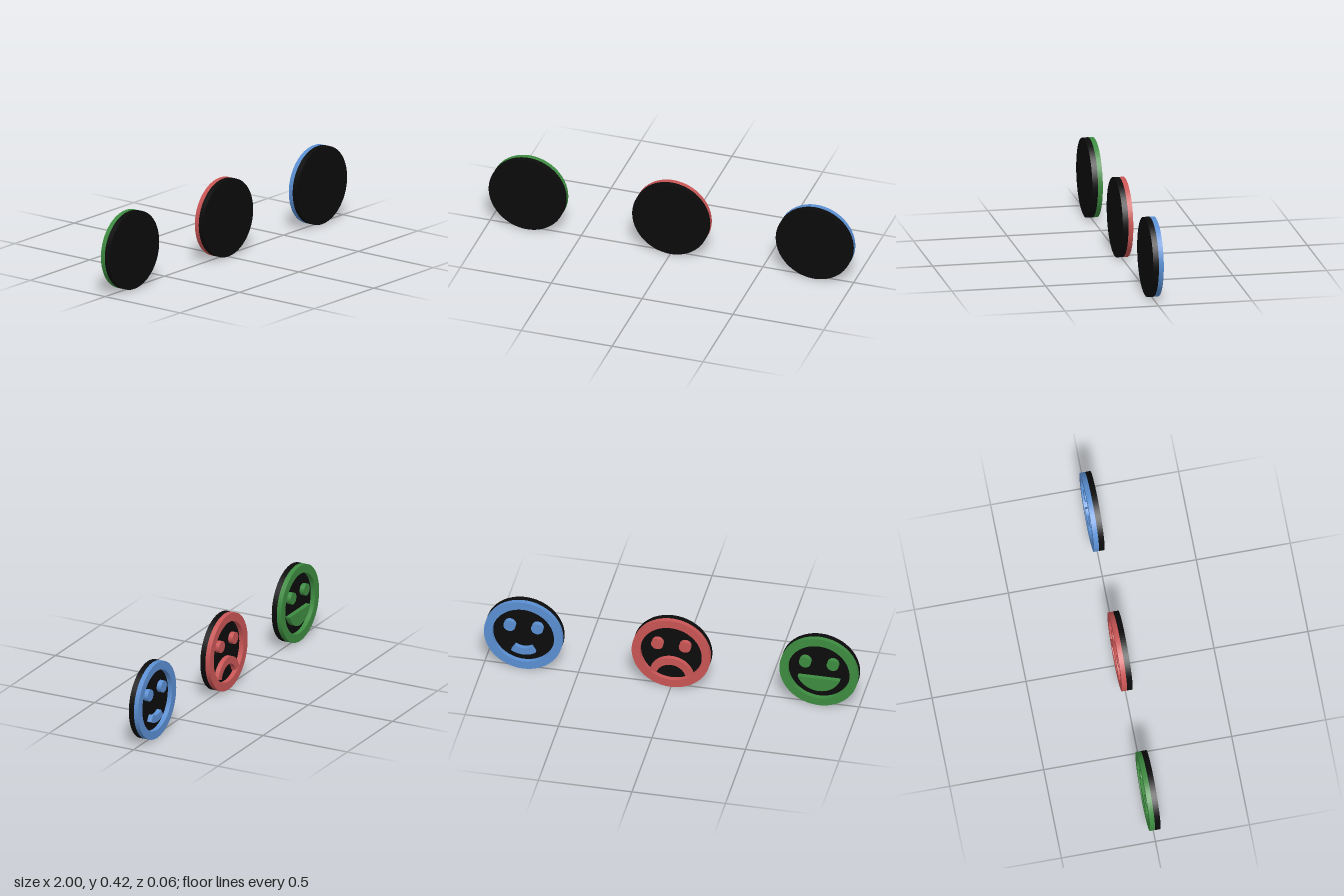
import * as THREE from 'three';
import { toCreasedNormals } from 'three/addons/utils/BufferGeometryUtils.js';

const R = 0.21;          // token radius
const BACK = -0.028;     // plain side of the base
const FLOOR = 0.002;     // base surface carrying the face
const RELIEF = 0.026;    // height of the coloured relief
const rad = THREE.MathUtils.degToRad;

function mesh(name, geometry, material) {
  const m = new THREE.Mesh(geometry, material);
  m.name = name;
  return m;
}

// Raised shape standing on the base surface, with smooth curved walls
function relief(name, shape, material) {
  const geo = new THREE.ExtrudeGeometry(shape, { depth: RELIEF, bevelEnabled: false, curveSegments: 48 });
  geo.translate(0, 0, FLOOR);
  return mesh(name, toCreasedNormals(geo, 0.5), material);
}

function disc(name, radius, depth, z, material) {
  const geo = new THREE.CylinderGeometry(radius, radius, depth, 96);
  geo.rotateX(Math.PI / 2);
  geo.translate(0, 0, z + depth / 2);
  return mesh(name, geo, material);
}

function rimShape() {
  const s = new THREE.Shape().absarc(0, 0, R, 0, Math.PI * 2, false);
  s.holes.push(new THREE.Path().absarc(0, 0, 0.165, 0, Math.PI * 2, true));
  return s;
}

// Curved band around the direction "mid", spanning "half" degrees each way
function bandShape(cy, mid, half) {
  const a = rad(mid - half), b = rad(mid + half);
  const s = new THREE.Shape();
  s.absarc(0, cy, 0.12, a, b, false);
  s.absarc(0, cy, 0.08, b, a, true);
  s.closePath();
  return s;
}

// Open mouth: a circle segment below a straight top edge
function openMouthShape() {
  const s = new THREE.Shape();
  s.absarc(0, 0, 0.12, rad(200), rad(340), false);
  s.closePath();
  return s;
}

function token(name, color, mouth) {
  const g = new THREE.Group();
  g.name = name;
  const black = new THREE.MeshStandardMaterial({ color: 0x0b0b0b });
  const paint = new THREE.MeshStandardMaterial({ color });
  g.add(disc('base', R, FLOOR - BACK, BACK, black));
  g.add(relief('rim', rimShape(), paint));
  for (const side of [-1, 1]) {
    const eye = disc(side < 0 ? 'rightEye' : 'leftEye', 0.032, RELIEF, FLOOR, paint);
    eye.position.set(side * 0.074, 0.052, 0);
    g.add(eye);
  }
  g.add(relief('mouth', mouth, paint));
  // The faces look towards the back
  g.rotation.y = Math.PI;
  g.position.y = R;
  return g;
}

export function createModel() {
  const model = new THREE.Group();
  model.name = 'faceTokens';
  const tokens = [
    token('laughingToken', 0x3d8b40, openMouthShape()),
    token('sadToken', 0xc95555, bandShape(-0.15, 90, 75)),
    token('smilingToken', 0x5a8fd2, bandShape(0, 270, 33)),
  ];
  tokens.forEach((t, i) => {
    t.position.x = (i - 1) * 0.79;
    model.add(t);
  });
  return model;
}
